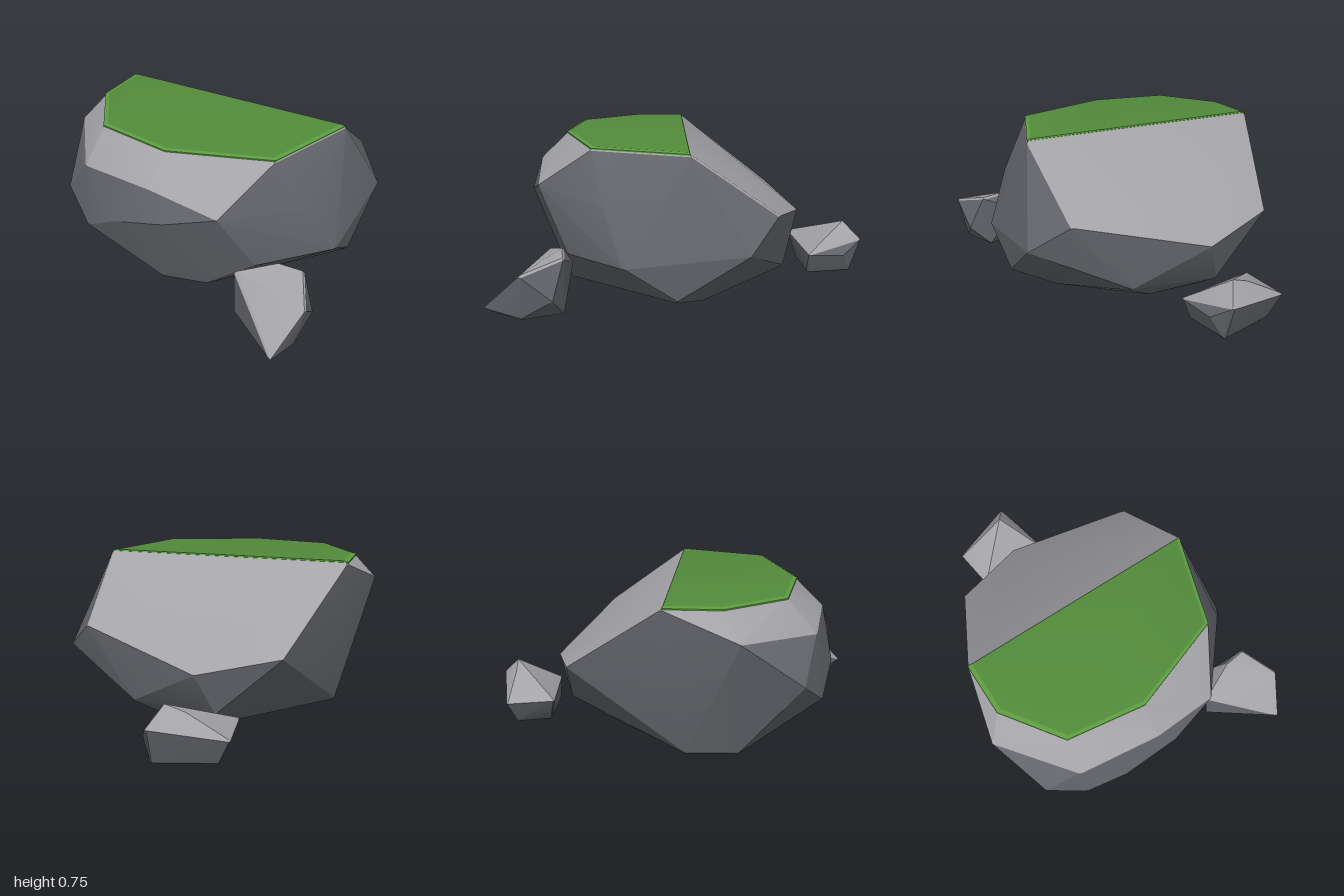
import * as THREE from 'three';
import { ConvexGeometry } from 'three/addons/geometries/ConvexGeometry.js';
import { toCreasedNormals } from 'three/addons/utils/BufferGeometryUtils.js';

function material(name, color) {
  const m = new THREE.MeshStandardMaterial({ color });
  m.name = name;
  return m;
}
const darkStone = material('dark stone', 0x64666c);
const lightStone = material('light stone', 0xa3a3a8);
const moss = material('moss green', 0x528b3b);
const mossRim = material('light moss green', 0x5c9c40);

const V = (p) => new THREE.Vector3(...p);

// Convex hull whose faces take the upper colour where they point up enough.
function hull(name, points, side, upper, limit) {
  const flat = new ConvexGeometry(points);
  const normal = flat.getAttribute('normal');
  const geometry = toCreasedNormals(flat, 0.35);
  for (let i = 0; i < normal.count; i += 3) {
    geometry.addGroup(i, 3, normal.getY(i) > limit ? 1 : 0);
  }
  const mesh = new THREE.Mesh(geometry, [side, upper]);
  mesh.name = name;
  return mesh;
}

// Boulder with narrow chamfers: each corner becomes a tiny octahedron.
function rock(name, corners, r) {
  const box = new THREE.Box3().setFromPoints(corners.map(V));
  const c = box.getCenter(new THREE.Vector3());
  const size = box.getSize(new THREE.Vector3());
  const kx = 1 - (2 * r) / size.x, kz = 1 - (2 * r) / size.z;
  const points = [];
  for (const [x, y, z] of corners) {
    const p = new THREE.Vector3(
      c.x + (x - c.x) * kx,
      THREE.MathUtils.clamp(y, box.min.y + r, box.max.y - r),
      c.z + (z - c.z) * kz
    );
    for (const axis of ['x', 'y', 'z']) {
      for (const s of [-r, r]) {
        const q = p.clone();
        q[axis] += s;
        points.push(q);
      }
    }
  }
  return hull(name, points, darkStone, lightStone, 0.55);
}

export function createModel() {
  const group = new THREE.Group();
  group.name = 'mossyRocks';

  // Outline of the flat top, as x and z
  const top = [[-0.56, -0.35], [0.58, 0.1], [0.27, 0.465], [-0.24, 0.44], [-0.58, 0.24], [-0.66, -0.1]];

  // Main boulder
  group.add(rock('boulder', [
    ...top.map(([x, z]) => [x, 0.74, z]),
    // edge of the sloping back face
    [0.69, 0.44, -0.3], [0.2, 0.31, -0.7], [-0.2, 0.38, -0.725],
    // left and right sides
    [-0.775, 0.61, -0.06], [-0.785, 0.38, 0.25], [0.785, 0.3, -0.11], [0.64, 0.08, 0.19],
    // front
    [-0.65, 0.58, 0.36], [-0.3, 0.6, 0.56], [0.03, 0.53, 0.665], [-0.5, 0.38, 0.52],
    [-0.23, 0.46, 0.63], [-0.66, 0.26, 0.4], [0.2, 0.22, 0.57], [0.57, 0.24, 0.42], [0.43, 0.49, 0.46],
    // lower back
    [0.47, 0.12, -0.46], [0.1, 0.11, -0.66],
    // underside
    [-0.54, 0.01, -0.24], [-0.62, 0.01, 0], [-0.28, 0.01, 0.46], [-0.05, 0.01, 0.49],
    [0.52, 0.01, 0], [0.3, 0.01, -0.42], [0.05, 0.01, -0.52],
  ], 0.012));

  // Thin moss cap on the flat top, with a paler chamfered rim
  const cap = top.flatMap(([x, z]) => [
    V([x, 0.734, z]), V([x, 0.74, z]), V([x * 0.965, 0.746, z * 0.965]),
  ]);
  group.add(hull('mossCap', cap, mossRim, moss, 0.99));

  // Small rock at the front
  group.add(rock('frontRock', [
    [0.31, 0.05, 1.0], [0.45, 0.22, 0.86], [0.105, 0.22, 0.63], [0.31, 0.29, 0.62], [0.43, 0.27, 0.65],
    [0.28, 0.2, 0.57], [0.48, 0.1, 0.72], [0.11, 0, 0.66], [0.4, 0, 0.85], [0.4, 0, 0.65], [0.29, 0, 0.93],
  ], 0.01));

  // Small rock at the back
  group.add(rock('backRock', [
    [0.24, 0.22, -0.93], [0.33, 0.26, -0.91], [0.0, 0.13, -0.77], [0.38, 0.11, -0.675],
    [0.06, 0.12, -1.0], [0.41, 0.17, -0.97], [0.42, 0.1, -0.86],
    [0.08, 0, -0.78], [0.34, 0, -0.69], [0.39, 0, -0.92], [0.1, 0, -0.95],
  ], 0.008));

  return group;
}
